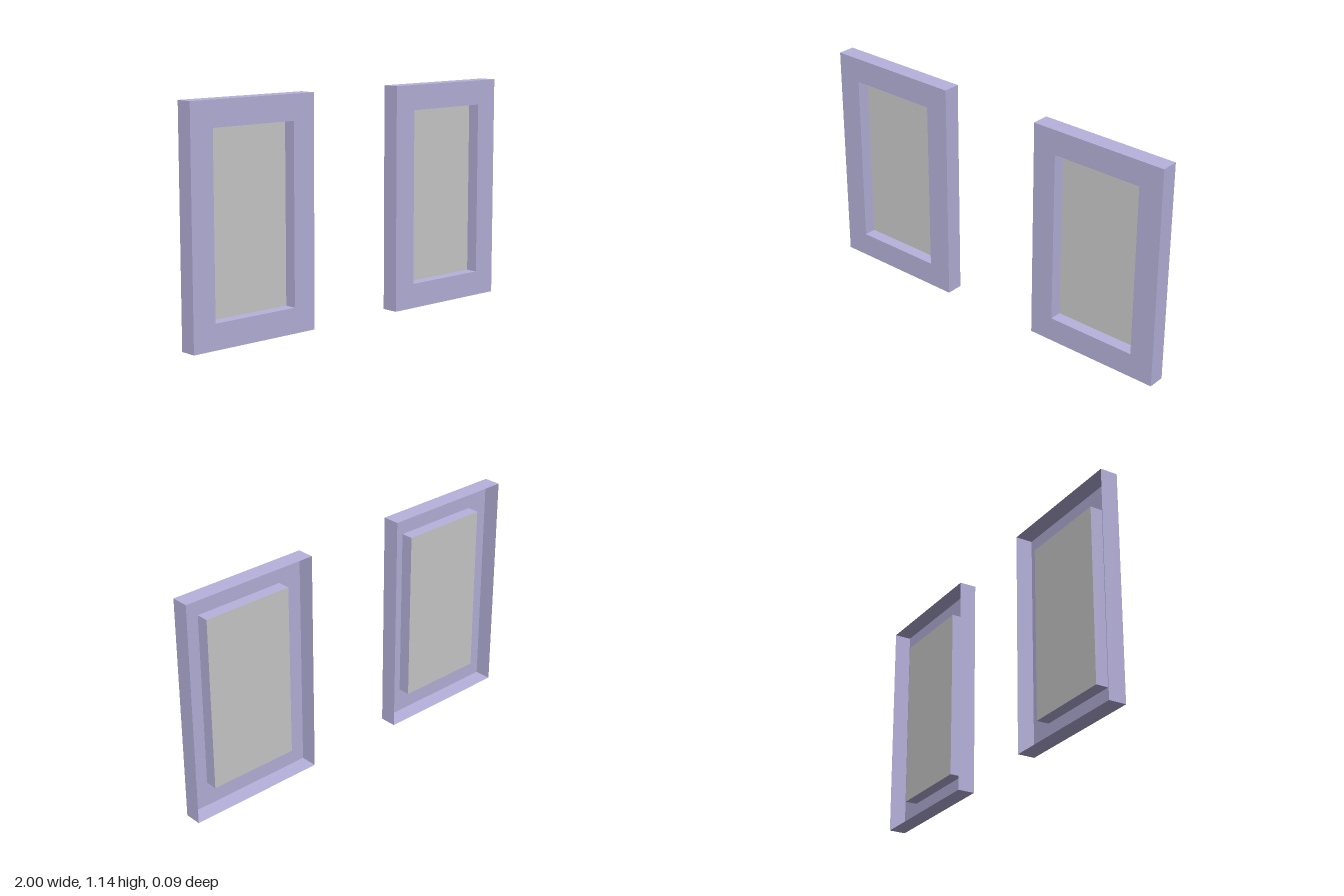
import * as THREE from 'three';

const W = 0.725, H = 1.145, D = 0.088;      // outer frame
const HOLE_W = 0.475, HOLE_H = 0.892;       // recessed opening
const RECESS = 0.063;                       // depth of the pane behind the front face
const CX = 0.6375, CY = H / 2, FRONT = D / 2;

const frameMat = new THREE.MeshStandardMaterial({ color: 0xb7b2dc, side: THREE.DoubleSide });
const paneMat = new THREE.MeshStandardMaterial({ color: 0xcccccc, side: THREE.DoubleSide });

function rectangle(PathType, w, h) {
  const x = w / 2, y = h / 2;
  return new PathType([[-x, -y], [x, -y], [x, y], [-x, y]].map(([a, b]) => new THREE.Vector2(a, b)));
}

function addPlate(group, name, geometry, material, x, y, z) {
  const mesh = new THREE.Mesh(geometry, material);
  mesh.name = name;
  mesh.position.set(x, y, z);
  group.add(mesh);
  return mesh;
}

// Four thin walls running back from the front face around a w x h rectangle
function addWalls(group, name, w, h, depth) {
  const z = FRONT - depth / 2;
  for (const s of [-1, 1]) {
    const side = s < 0 ? 'Right' : 'Left';
    addPlate(group, name + side, new THREE.PlaneGeometry(depth, h), frameMat, s * w / 2, 0, z)
      .rotation.y = s * Math.PI / 2;
    const level = s < 0 ? 'Bottom' : 'Top';
    addPlate(group, name + level, new THREE.PlaneGeometry(w, depth), frameMat, 0, s * h / 2, z)
      .rotation.x = -s * Math.PI / 2;
  }
}

// Hollow window frame, open at the back, with a recessed pane
function createWindow(name) {
  const group = new THREE.Group();
  group.name = name;
  const face = rectangle(THREE.Shape, W, H);
  face.holes.push(rectangle(THREE.Path, HOLE_W, HOLE_H));
  addPlate(group, 'frameFace', new THREE.ShapeGeometry(face), frameMat, 0, 0, FRONT);
  addWalls(group, 'outerWall', W, H, D);
  addWalls(group, 'recessWall', HOLE_W, HOLE_H, RECESS);
  addPlate(group, 'pane', new THREE.PlaneGeometry(HOLE_W, HOLE_H), paneMat, 0, 0, FRONT - RECESS);
  return group;
}

export function createModel() {
  const model = new THREE.Group();
  model.name = 'windowPair';
  for (const s of [-1, 1]) {
    const win = createWindow(s < 0 ? 'rightWindow' : 'leftWindow');
    win.position.set(s * CX, CY, 0);
    model.add(win);
  }
  return model;
}
